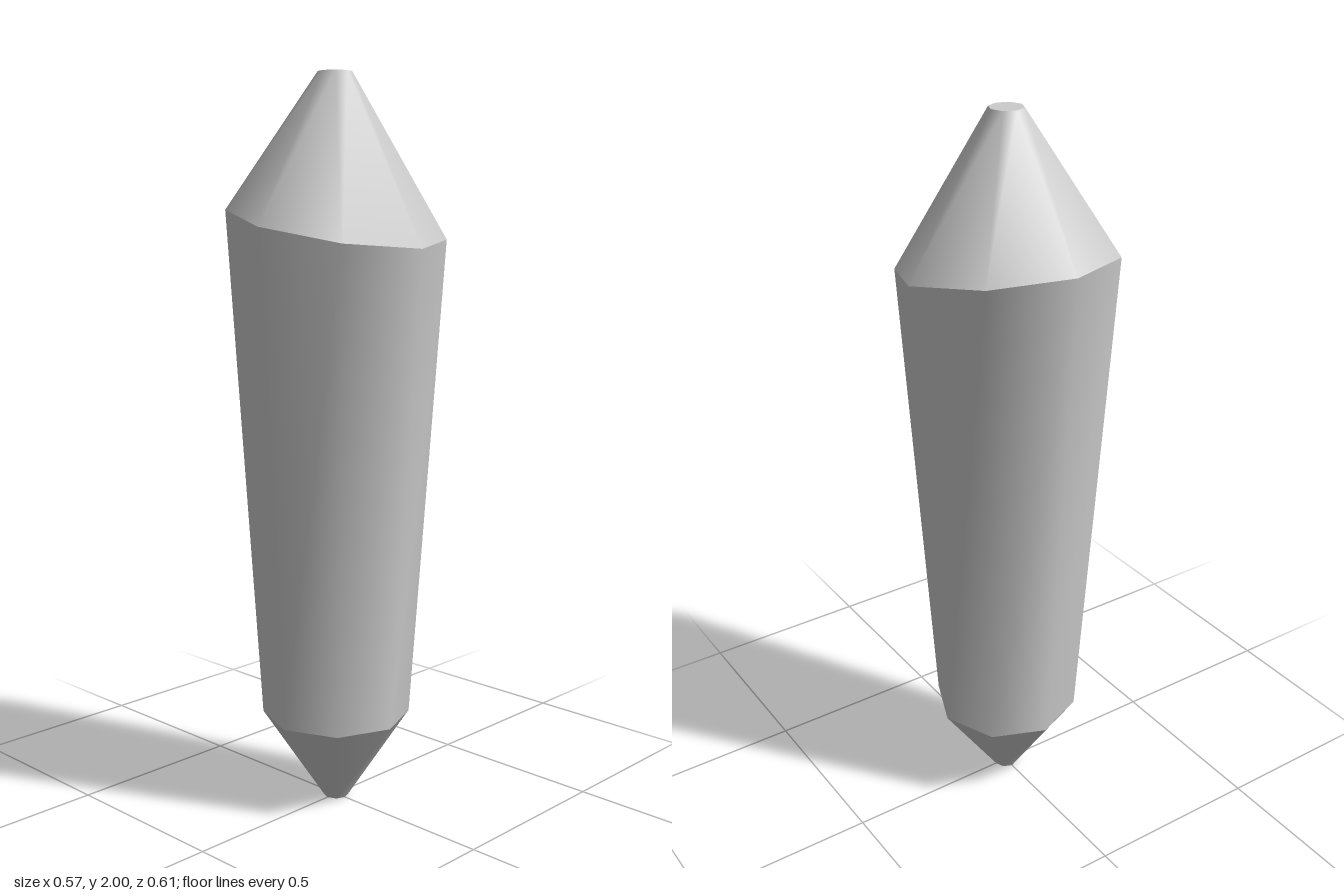
import * as THREE from 'three';
import { toCreasedNormals } from 'three/addons/utils/BufferGeometryUtils.js';

const SIDES = 8;

// Octagonal rings from the bottom up: height, half width, half depth, z shift,
// and rise of the ring from its middle to its back corner.
const bottomRing = { y: 0, rx: 0.035, rz: 0.035, dz: 0, tilt: 0 };
const waistRing = { y: 0.25, rx: 0.205, rz: 0.205, dz: 0, tilt: 0 };
const shoulderRing = { y: 1.605, rx: 0.284, rz: 0.303, dz: 0, tilt: 0.055 };
const topRing = { y: 2, rx: 0.045, rz: 0.045, dz: -0.004, tilt: 0 };

// Puts a point of the unit circle on a ring.
function place(pos, i, ring, x, z) {
  pos.setXYZ(i, x * ring.rx, ring.y - z * ring.tilt, z * ring.rz + ring.dz);
}

// Band of eight faces between two rings, softly shaded around the axis.
function band(low, high) {
  const geo = new THREE.CylinderGeometry(1, 1, 2, SIDES, 1, true);
  const pos = geo.attributes.position;
  for (let i = 0; i < pos.count; i++) {
    place(pos, i, pos.getY(i) > 0 ? high : low, pos.getX(i), pos.getZ(i));
  }
  return toCreasedNormals(geo, 0.9);
}

// Flat end face closing a ring.
function endFace(ring, up) {
  const geo = new THREE.CircleGeometry(1, SIDES).rotateX(up ? -Math.PI / 2 : Math.PI / 2);
  const pos = geo.attributes.position;
  for (let i = 0; i < pos.count; i++) place(pos, i, ring, pos.getX(i), pos.getZ(i));
  return geo;
}

export function createModel() {
  const model = new THREE.Group();
  model.name = 'crystal';
  const material = new THREE.MeshStandardMaterial({ color: 0xcccccc });

  const parts = {
    lowerPoint: band(bottomRing, waistRing),
    shaft: band(waistRing, shoulderRing),
    upperPoint: band(shoulderRing, topRing),
    bottomFace: endFace(bottomRing, false),
    topFace: endFace(topRing, true),
  };
  for (const [name, geometry] of Object.entries(parts)) {
    const mesh = new THREE.Mesh(geometry, material);
    mesh.name = name;
    model.add(mesh);
  }
  return model;
}
